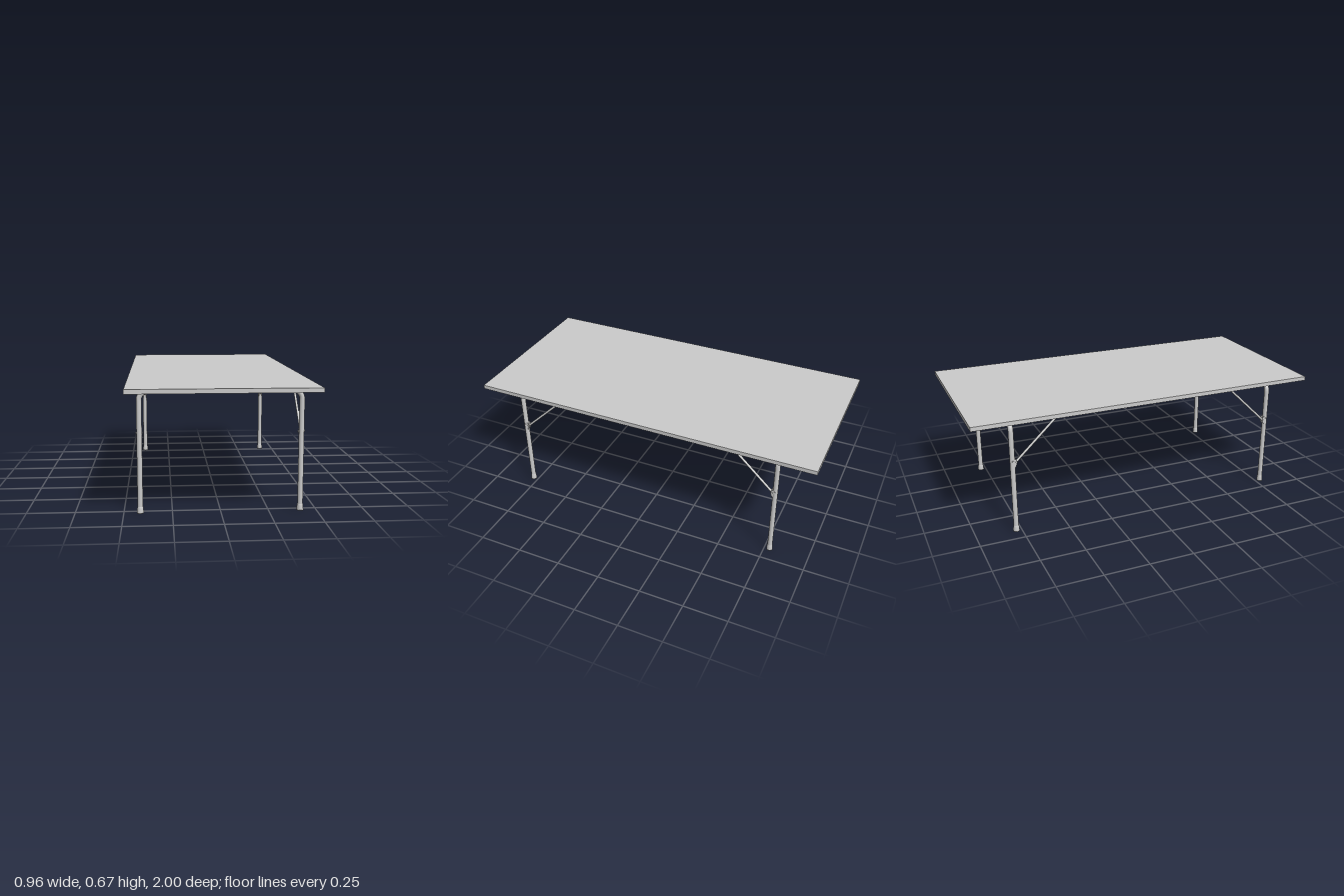
import * as THREE from 'three';

const material = new THREE.MeshStandardMaterial({ color: 0xcccccc });

function add(parent, name, geometry, x = 0, y = 0, z = 0) {
  const mesh = new THREE.Mesh(geometry, material);
  mesh.name = name;
  mesh.position.set(x, y, z);
  parent.add(mesh);
  return mesh;
}

// U-shaped tube: up from one end, across with rounded corners, down to the other
function bentTube(halfWidth, bottom, top, bend, radius, sides) {
  const dir = top.clone().sub(bottom).normalize();
  const at = (x, p) => new THREE.Vector3(x, p.y, p.z);
  const low = top.clone().addScaledVector(dir, -bend);
  const path = new THREE.CurvePath();
  const w = halfWidth;
  // quarter circle corner on side s
  const corner = (s) => {
    const points = [];
    for (let i = 0; i <= 8; i++) {
      const a = (i / 8) * Math.PI / 2;
      const p = low.clone().addScaledVector(dir, bend * Math.sin(a));
      points.push(at(s * (w - bend + bend * Math.cos(a)), p));
    }
    return points;
  };
  const points = [at(-w, bottom), ...corner(-1), ...corner(1).reverse(), at(w, bottom)];
  for (let i = 1; i < points.length; i++) path.add(new THREE.LineCurve3(points[i - 1], points[i]));
  return new THREE.TubeGeometry(path, 200, radius, sides, false);
}

function legAssembly() {
  const group = new THREE.Group();
  const legX = 0.415, legZ = 0.78;
  const v = (y, z) => new THREE.Vector3(0, y, z);

  add(group, 'legFrame', bentTube(legX, v(0.01, legZ), v(0.632, legZ), 0.045, 0.014, 20));
  add(group, 'foldingBrace', bentTube(legX, v(0.405, 0.767), v(0.64, 0.519), 0.025, 0.0065, 12));

  // flared rubber foot
  const foot = [[0, 0], [0.018, 0], [0.018, 0.004], [0.0165, 0.024], [0.0145, 0.035], [0.0135, 0.035]]
    .map(([r, y]) => new THREE.Vector2(r, y));
  // side plate of the hinge, drawn in (-z, y)
  const plate = new THREE.Shape([[-0.785, 0.41], [-0.785, 0.43], [-0.764, 0.43], [-0.756, 0.418],
    [-0.758, 0.402], [-0.766, 0.385], [-0.772, 0.385]].map(([x, y]) => new THREE.Vector2(x, y)));
  const plateGeometry = new THREE.ExtrudeGeometry(plate, { depth: 0.002, bevelEnabled: false });
  plateGeometry.rotateY(Math.PI / 2);

  for (const side of [-1, 1]) {
    const x = side * legX;
    add(group, 'foot', new THREE.LatheGeometry(foot, 20), x, 0, legZ);
    const bracket = new THREE.Group();
    bracket.name = 'hingeBracket';
    group.add(bracket);
    for (const offset of [-0.012, 0.01]) add(bracket, 'hingePlate', plateGeometry, x + offset, 0, 0);
    for (const [y, z] of [[0.42, 0.78], [0.412, 0.763]]) {
      add(bracket, 'hingePin', new THREE.CylinderGeometry(0.005, 0.005, 0.034, 12), x, y, z)
        .rotation.z = Math.PI / 2;
    }
  }
  return group;
}

export function createModel() {
  const model = new THREE.Group();
  model.name = 'foldingTable';
  add(model, 'tableTop', new THREE.BoxGeometry(0.96, 0.023, 2), 0, 0.6575, 0);

  // one folding leg pair at each end
  for (const turn of [0, Math.PI]) {
    const legs = legAssembly();
    legs.name = turn ? 'backLegs' : 'frontLegs';
    legs.rotation.y = turn;
    model.add(legs);
  }
  return model;
}
